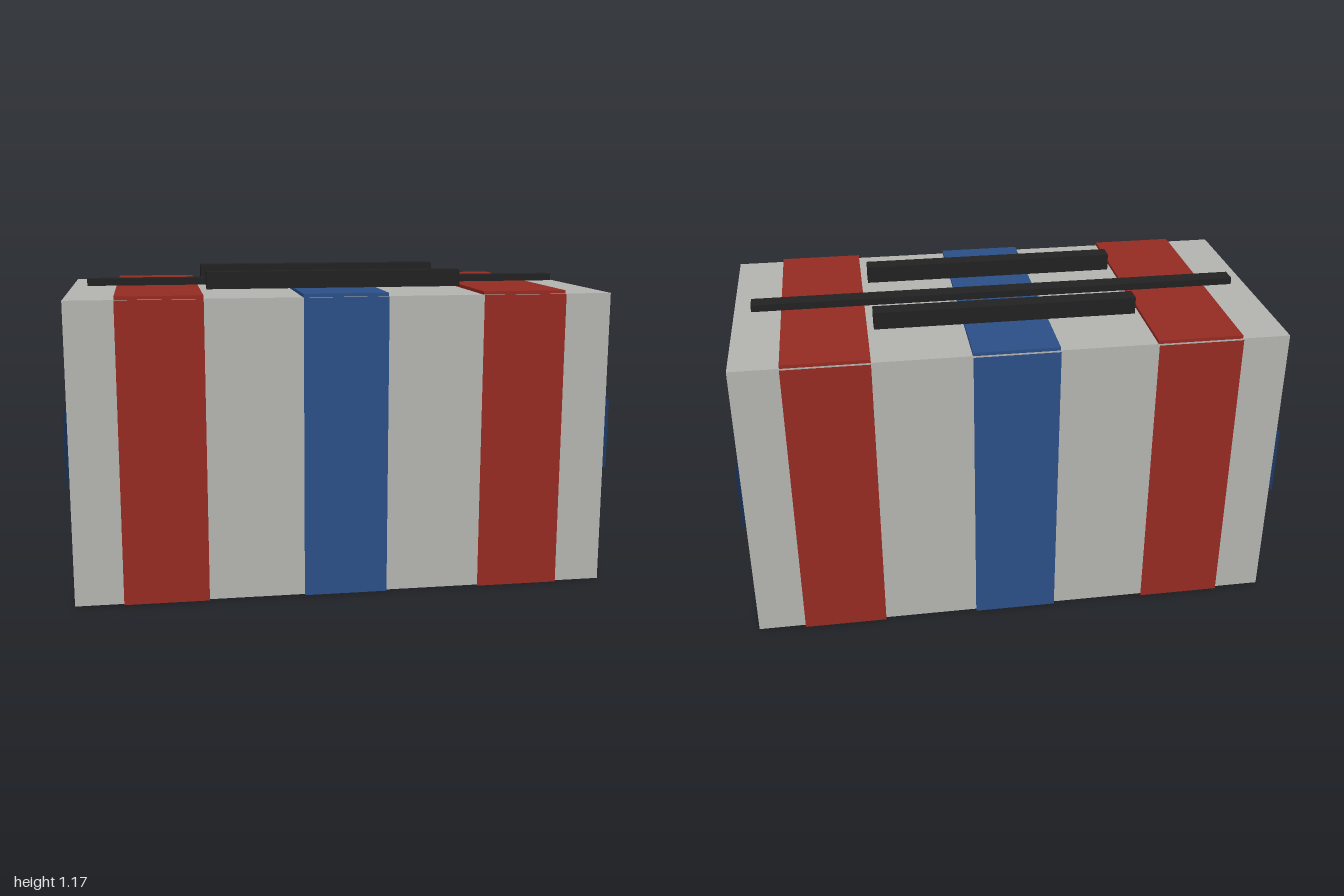
import * as THREE from 'three';

const mat = (name, color, side = THREE.FrontSide) => {
  const m = new THREE.MeshStandardMaterial({ color, side });
  m.name = name;
  return m;
};

export function createModel() {
  const grey = mat('containerGrey', 0xb5b5b2);
  const red = mat('stripeRed', 0x962b22, THREE.DoubleSide);
  const blue = mat('stripeBlue', 0x2b5088, THREE.DoubleSide);
  const black = mat('railBlack', 0x222222);

  const W = 1.974, H = 1.1, D = 0.988; // body size
  const gap = 0.013;                   // panels stand just off the walls
  const cap = 0.012;                   // thickness of roof stripes
  const group = new THREE.Group();
  group.name = 'stripedContainer';

  const add = (name, geometry, material, x, y, z, turn = 0) => {
    const mesh = new THREE.Mesh(geometry, material);
    mesh.name = name;
    mesh.position.set(x, y, z);
    mesh.rotation.y = turn;
    group.add(mesh);
  };

  // Main block
  add('body', new THREE.BoxGeometry(W, H, D), grey, 0, H / 2, 0);

  // Vertical stripes on front and back, continued over the roof
  const stripeWidth = 0.308;
  const panel = new THREE.PlaneGeometry(stripeWidth, H);
  const roofStripe = new THREE.BoxGeometry(stripeWidth, cap, D);
  for (const [x, material, label] of [[-0.658, red, 'right'], [0, blue, 'middle'], [0.658, red, 'left']]) {
    add(label + 'FrontStripe', panel, material, x, H / 2, D / 2 + gap);
    add(label + 'BackStripe', panel, material, x, H / 2, -D / 2 - gap, Math.PI);
    add(label + 'RoofStripe', roofStripe, material, x, H + cap / 2, 0);
  }

  // Horizontal bands on both ends
  const band = new THREE.PlaneGeometry(D, 0.263);
  for (const s of [-1, 1]) {
    add(s > 0 ? 'leftEndBand' : 'rightEndBand', band, blue, s * (W / 2 + gap), 0.571, 0, s * Math.PI / 2);
  }

  // Roof rails: one long low bar between two short tall bars
  const roof = H + cap;
  add('centreRail', new THREE.BoxGeometry(1.844, 0.026, 0.064), black, 0, roof + 0.013, 0);
  const sideRail = new THREE.BoxGeometry(0.96, 0.063, 0.064);
  for (const s of [-1, 1]) {
    add(s > 0 ? 'frontRail' : 'backRail', sideRail, black, 0, roof + 0.0315, s * 0.22);
  }

  return group;
}
